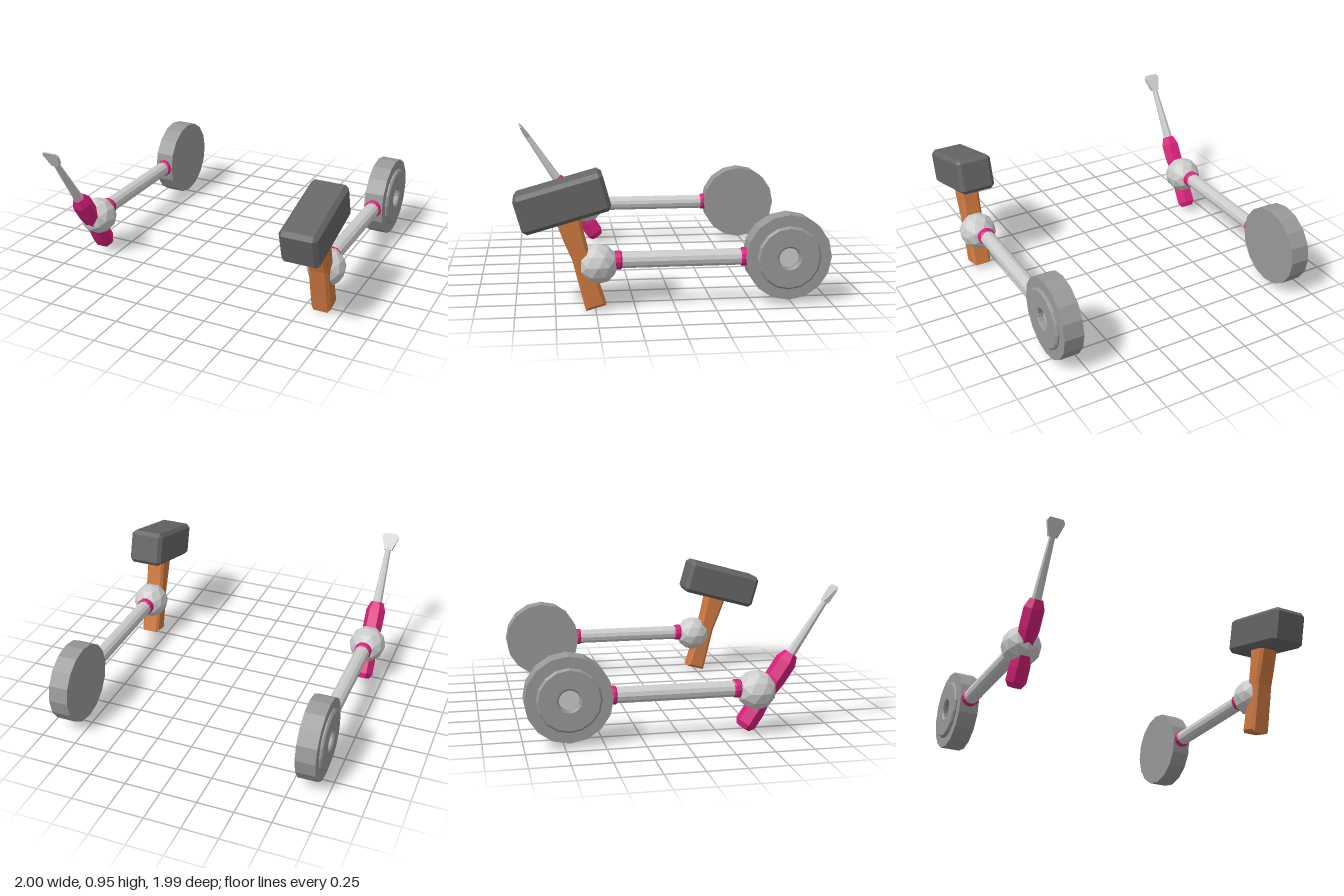
import * as THREE from 'three';
import { ConvexGeometry } from 'three/addons/geometries/ConvexGeometry.js';

const mat = (color) => new THREE.MeshStandardMaterial({ color, flatShading: true });
const grey = mat(0xcccccc), discGrey = mat(0x999999), dark = mat(0x666666);
const pink = mat(0xd8217a), wood = mat(0xd07a40);

function add(parent, name, geometry, material, x = 0, y = 0, z = 0) {
  const mesh = new THREE.Mesh(geometry, material);
  mesh.name = name;
  mesh.position.set(x, y, z);
  parent.add(mesh);
  return mesh;
}

const lathe = (profile, sides) =>
  new THREE.LatheGeometry(profile.map(([r, y]) => new THREE.Vector2(r, y)), sides);

// Box with all edges and corners cut by c
function chamferBox(w, h, d, c) {
  const [a, b, e] = [w / 2, h / 2, d / 2];
  const points = [];
  for (const x of [-1, 1]) for (const y of [-1, 1]) for (const z of [-1, 1]) {
    points.push(
      new THREE.Vector3(x * a, y * (b - c), z * (e - c)),
      new THREE.Vector3(x * (a - c), y * b, z * (e - c)),
      new THREE.Vector3(x * (a - c), y * (b - c), z * e));
  }
  return new ConvexGeometry(points);
}

// Shoulder disc, rod and collars; side is the outward x direction
function makeArm(name, x, side) {
  const arm = new THREE.Group();
  arm.name = name;
  arm.position.set(x, 0.31, 0);

  const disc = lathe([[0, -0.068], [0.275, -0.068], [0.275, 0.067], [0.205, 0.067],
    [0.205, 0.076], [0.192, 0.087], [0.077, 0.087], [0.066, 0.077], [0.066, 0.045]], 16);
  const pin = new THREE.CylinderGeometry(0.066, 0.066, 0.03, 16);
  for (const g of [disc, pin]) g.rotateZ(-side * Math.PI / 2);
  add(arm, 'shoulderDisc', disc, discGrey, 0, 0, -0.72);
  add(arm, 'discPin', pin, grey, side * 0.03, 0, -0.72);

  add(arm, 'rod', new THREE.CylinderGeometry(0.053, 0.053, 0.92, 12).rotateX(Math.PI / 2),
    grey, 0, 0, -0.04);
  const collar = lathe([[0, -0.025], [0.054, -0.025], [0.061, -0.016], [0.061, 0.016],
    [0.054, 0.025], [0, 0.025]], 12).rotateX(Math.PI / 2);
  add(arm, 'rearCollar', collar, pink, 0, 0, -0.445);
  add(arm, 'wristCollar', collar, pink, 0, 0, 0.357);
  return arm;
}

function makeHammer() {
  const hammer = new THREE.Group();
  hammer.name = 'hammer';
  hammer.position.set(0.866, 0.03, 0.5);
  hammer.rotation.x = THREE.MathUtils.degToRad(15.5);

  // Handle: waisted side profile that flares under the head
  const bevel = 0.018, depth = 0.134 - 2 * bevel;
  const half = [[-0.048, 0.01], [-0.038, 0.33], [-0.042, 0.46], [-0.055, 0.62]];
  const profile = [...half, ...half.map(([v, u]) => [-v + (u > 0.4 ? 0.012 : 0), u]).reverse()];
  const handle = new THREE.ExtrudeGeometry(
    new THREE.Shape(profile.map(([v, u]) => new THREE.Vector2(v, u))),
    { depth, bevelEnabled: true, bevelSegments: 1, bevelSize: bevel, bevelThickness: bevel });
  handle.translate(0, 0, -depth / 2).rotateY(-Math.PI / 2);
  add(hammer, 'hammerHandle', handle, wood);

  add(hammer, 'hammerHead', chamferBox(0.25, 0.245, 0.565, 0.026), dark, 0, 0.696, 0.012);
  return hammer;
}

function makeScrewdriver() {
  const driver = new THREE.Group();
  driver.name = 'screwdriver';
  driver.position.set(-0.868, 0.05, 0.4);
  driver.rotation.x = THREE.MathUtils.degToRad(33.25);

  // Six-sided grip, with corners pointing sideways
  const grip = lathe([[0, 0], [0.048, 0], [0.07, 0.035], [0.07, 0.13], [0.06, 0.22],
    [0.06, 0.29], [0.07, 0.38], [0.07, 0.505], [0.045, 0.565], [0, 0.565]], 6);
  add(driver, 'grip', grip.rotateY(Math.PI / 2), pink);
  add(driver, 'shaft', new THREE.CylinderGeometry(0.019, 0.034, 0.44, 8), grey, 0, 0.755, 0);

  // Flared, flattened blade
  const points = [];
  for (const [u, w, t] of [[0.955, 0.028, 0.018], [1.05, 0.06, 0.007], [1.076, 0.046, 0.004]])
    for (const sx of [-1, 1]) for (const sz of [-1, 1])
      points.push(new THREE.Vector3(sx * w, u, sz * t));
  add(driver, 'blade', new ConvexGeometry(points), grey);
  return driver;
}

export function createModel() {
  const model = new THREE.Group();
  model.name = 'toolArms';
  model.add(makeArm('leftArm', 0.853, 1), makeArm('rightArm', -0.868, -1));

  // Faceted ball hands
  const ball = new THREE.IcosahedronGeometry(0.13, 1);
  add(model, 'leftHand', ball, grey, 0.866, 0.295, 0.485);
  add(model, 'rightHand', ball, grey, -0.869, 0.295, 0.485);

  model.add(makeHammer(), makeScrewdriver());
  return model;
}
